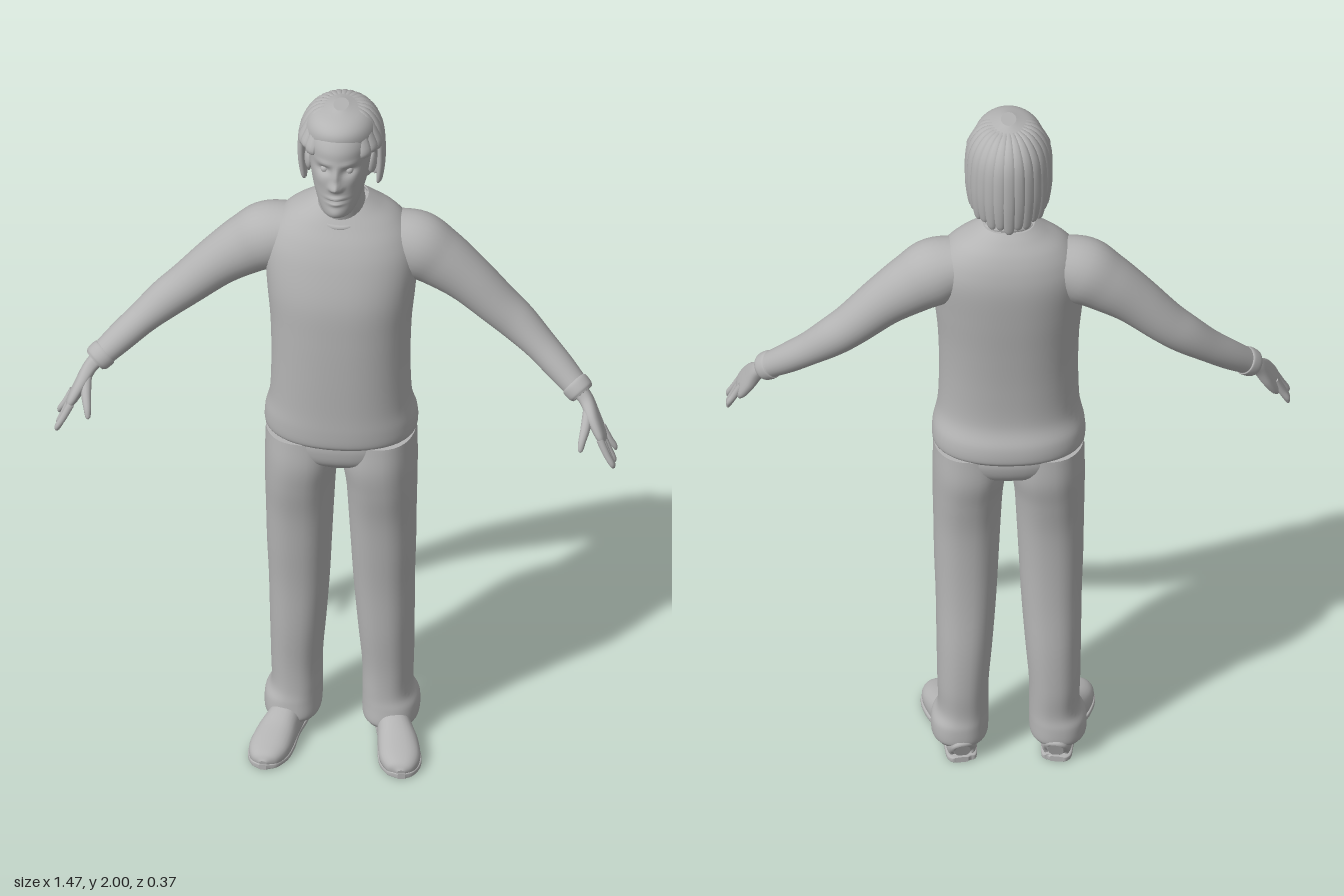
import * as THREE from 'three';

const grey = new THREE.MeshStandardMaterial({ color: 0xb4b4b4 });
grey.name = 'plain grey';

// Smooth closed loft through rows [x, y, z, halfWidth, halfDepth].
// hint = width direction; axis = fixed ring normal (otherwise rings follow the path).
function loft(rows, { hint = [1, 0, 0], axis = null, seg = 28, steps = 6, power = 2, side = 1, rule = null } = {}) {
  const path = new THREE.CatmullRomCurve3(rows.map(r => new THREE.Vector3(r[0] * side, r[1], r[2])), false, 'catmullrom', 0.5);
  const size = new THREE.CatmullRomCurve3(rows.map(r => new THREE.Vector3(r[3], r[4], 0)), false, 'catmullrom', 0.5);
  const n = (rows.length - 1) * steps;
  const pos = [], idx = [];
  const h = new THREE.Vector3(hint[0] * side, hint[1], hint[2]);
  const bend = c => Math.sign(c) * Math.pow(Math.abs(c), 2 / power);
  const put = p => { if (rule) rule(p); pos.push(p.x, p.y, p.z); };
  for (let i = 0; i <= n; i++) {
    const p = path.getPoint(i / n), s = size.getPoint(i / n);
    const t = axis ? new THREE.Vector3(...axis) : path.getTangent(i / n);
    const u = h.clone().addScaledVector(t, -h.dot(t)).normalize();
    const v = t.clone().cross(u);
    for (let j = 0; j < seg; j++) {
      const a = j / seg * Math.PI * 2;
      put(p.clone().addScaledVector(u, bend(Math.cos(a)) * Math.max(s.x, 0.001))
        .addScaledVector(v, bend(Math.sin(a)) * Math.max(s.y, 0.001)));
    }
  }
  for (let i = 0; i < n; i++) for (let j = 0; j < seg; j++) {
    const k = (j + 1) % seg, a = i * seg + j, b = i * seg + k;
    idx.push(a, b, b + seg, a, b + seg, a + seg);
  }
  // end caps with their own rings for a crisp edge
  for (const [ring, flip] of [[0, true], [n, false]]) {
    const base = pos.length / 3;
    for (let j = 0; j < seg; j++) pos.push(...pos.slice((ring * seg + j) * 3, (ring * seg + j) * 3 + 3));
    put(path.getPoint(ring / n));
    for (let j = 0; j < seg; j++) {
      const a = base + j, b = base + (j + 1) % seg, c = base + seg;
      flip ? idx.push(b, a, c) : idx.push(a, b, c);
    }
  }
  const g = new THREE.BufferGeometry();
  g.setAttribute('position', new THREE.Float32BufferAttribute(pos, 3));
  g.setIndex(idx);
  g.computeVertexNormals();
  return g;
}

export function createModel() {
  const model = new THREE.Group();
  model.name = 'standing man';
  const add = (name, geo, parent = model) => {
    const m = new THREE.Mesh(geo, grey);
    m.name = name;
    parent.add(m);
    return m;
  };
  const UP = [0, 1, 0];

  // Sweater body with hem
  add('sweater', loft([
    [0, 0.975, -0.035, 0.188, 0.132], [0, 0.99, -0.035, 0.199, 0.141], [0, 1.03, -0.032, 0.198, 0.141],
    [0, 1.09, -0.022, 0.185, 0.131], [0, 1.2, -0.022, 0.181, 0.133], [0, 1.32, -0.027, 0.184, 0.138],
    [0, 1.43, -0.035, 0.194, 0.141], [0, 1.53, -0.05, 0.2, 0.132], [0, 1.59, -0.058, 0.183, 0.117],
    [0, 1.635, -0.063, 0.148, 0.096], [0, 1.668, -0.062, 0.1, 0.075], [0, 1.69, -0.06, 0.068, 0.058]
  ], { axis: UP, seg: 48, power: 2.25 }));
  const collar = add('collar', new THREE.TorusGeometry(0.07, 0.009, 10, 40));
  collar.rotation.x = Math.PI / 2 + 0.42;
  collar.position.set(0, 1.667, -0.04);
  // Trouser seat
  add('trouserSeat', loft([
    [0, 0.89, -0.03, 0.11, 0.085], [0, 0.92, -0.032, 0.168, 0.12], [0, 0.96, -0.034, 0.19, 0.132], [0, 1.0, -0.034, 0.19, 0.13]
  ], { axis: UP, seg: 40, power: 2.3 }));

  // Neck
  add('neck', loft([
    [0, 1.6, -0.055, 0.07, 0.06], [0, 1.66, -0.045, 0.066, 0.064], [0, 1.71, -0.035, 0.06, 0.066], [0, 1.78, -0.03, 0.058, 0.065]
  ], { axis: UP }));

  // Head, with bumps [x, y, width, height, amount] that form the face
  const bumps = [
    [0, 1.848, 0.009, 0.026, 0.012], [0, 1.818, 0.011, 0.013, 0.019], [0.012, 1.812, 0.007, 0.008, 0.007],
    [0.033, 1.86, 0.018, 0.011, -0.012], [0.03, 1.883, 0.024, 0.008, 0.004], [0, 1.78, 0.021, 0.005, 0.008],
    [0, 1.764, 0.019, 0.006, 0.007], [0, 1.772, 0.024, 0.003, -0.004], [0, 1.735, 0.022, 0.014, 0.005], [0.045, 1.83, 0.018, 0.02, 0.004]
  ];
  add('head', loft([
    [0, 1.71, 0.04, 0.02, 0.03], [0, 1.718, 0.037, 0.04, 0.055], [0, 1.74, 0.025, 0.053, 0.071],
    [0, 1.78, 0.007, 0.067, 0.088], [0, 1.82, -0.007, 0.076, 0.102], [0, 1.87, -0.017, 0.083, 0.108],
    [0, 1.92, -0.02, 0.085, 0.108], [0, 1.96, -0.025, 0.072, 0.088], [0, 1.985, -0.03, 0.04, 0.05]
  ], {
    axis: UP, seg: 80, steps: 9, rule: p => {
      if (p.z < 0.02) return;
      const z = bumps.reduce((s, [x, y, w, h, k]) =>
        s + k * Math.exp(-(((Math.abs(p.x) - x) / w) ** 2) - ((p.y - y) / h) ** 2), 0);
      p.z += z * Math.min(1, (p.z - 0.02) / 0.03);
    }
  }));

  // Hair: a close cap plus combed locks running from crown to tips
  const hair = new THREE.Group();
  hair.name = 'hair';
  model.add(hair);
  add('hairCap', loft([
    [0, 1.75, -0.085, 0.075, 0.05], [0, 1.8, -0.085, 0.09, 0.062], [0, 1.85, -0.068, 0.098, 0.085],
    [0, 1.9, -0.045, 0.102, 0.107], [0, 1.95, -0.032, 0.091, 0.107], [0, 1.98, -0.028, 0.066, 0.082], [0, 1.997, -0.028, 0.02, 0.03]
  ], { axis: UP, seg: 40 }), hair);
  const locks = 21;
  for (let i = 0; i < locks; i++) {
    const f = (i / (locks - 1) * 2 - 1) * 2.4, away = Math.abs(f);
    const end = (away < 1.75 ? 1.712 + 0.02 * away : 1.872) + (i % 2) * 0.008;
    const at = (r, y, a, b) => [Math.sin(f) * 0.105 * r, y, -0.04 - Math.cos(f) * 0.116 * r, a, b];
    const mid = (1.92 + end) / 2;
    const lock = [at(0.2, 1.988, 0.005, 0.005), at(0.65, 1.973, 0.013, 0.008), at(0.95, 1.92, 0.018, 0.009),
      at(1.01, mid, 0.018, 0.009), at(0.95, end + 0.015, 0.013, 0.007), at(0.91, end, 0.003, 0.002)];
    add('hairLock', loft(lock, { hint: [Math.cos(f), 0, Math.sin(f)], seg: 10, steps: 4 }), hair);
  }

  for (const side of [1, -1]) {
    const label = side > 0 ? 'left' : 'right';
    const limb = (name, rows, opt) => add(label + name, loft(rows, { side, ...opt }));

    // Eye and ear
    const eye = add(label + 'Eye', new THREE.SphereGeometry(0.011, 16, 12));
    eye.position.set(side * 0.032, 1.858, 0.068);
    const ear = add(label + 'Ear', new THREE.SphereGeometry(1, 16, 12));
    ear.scale.set(0.011, 0.032, 0.019);
    ear.position.set(side * 0.083, 1.83, -0.012);
    ear.rotation.y = side * -0.3;

    // Sleeve and cuff
    limb('Sleeve', [
      [0.1, 1.575, -0.065, 0.06, 0.07], [0.185, 1.54, -0.068, 0.09, 0.085], [0.25, 1.5, -0.07, 0.081, 0.077],
      [0.325, 1.442, -0.068, 0.067, 0.066], [0.405, 1.366, -0.064, 0.057, 0.058], [0.46, 1.318, -0.056, 0.052, 0.052],
      [0.52, 1.265, -0.036, 0.043, 0.045], [0.575, 1.216, -0.01, 0.039, 0.04], [0.625, 1.172, 0.018, 0.033, 0.034]
    ], { hint: [0.7, 0.7, 0] });
    limb('Cuff', [
      [0.612, 1.183, 0.01, 0.034, 0.034], [0.617, 1.179, 0.013, 0.038, 0.038], [0.632, 1.166, 0.021, 0.037, 0.037], [0.639, 1.16, 0.025, 0.031, 0.032]
    ], { hint: [0.7, 0.7, 0] });

    // Hand: palm, four fingers and thumb
    limb('Palm', [
      [0.625, 1.172, 0.018, 0.024, 0.022], [0.65, 1.146, 0.033, 0.023, 0.019], [0.67, 1.11, 0.055, 0.037, 0.018],
      [0.69, 1.073, 0.072, 0.04, 0.015], [0.699, 1.055, 0.079, 0.034, 0.01]
    ], { hint: [0, 0.35, 1], power: 2.4, seg: 24 });
    [[0.105, 0.121, 0.998], [0.089, 0.104, 0.986], [0.071, 0.082, 0.99], [0.053, 0.058, 1.012]].forEach(([z0, z1, y1], i) => {
      const y0 = 1.062 + (i === 3 ? 0.01 : 0);
      limb('Finger', [
        [0.693, y0 + 0.01, z0, 0.009, 0.01], [0.712, (y0 + y1) / 2 + 0.004, (z0 + z1) / 2 + 0.002, 0.009, 0.009],
        [0.726, y1 + 0.012, z1, 0.0075, 0.0075], [0.729, y1, z1, 0.003, 0.003]
      ], { hint: [0, 0, 1], seg: 12, steps: 4 });
    });
    limb('Thumb', [
      [0.657, 1.13, 0.058, 0.014, 0.014], [0.654, 1.1, 0.093, 0.013, 0.013], [0.648, 1.075, 0.12, 0.01, 0.01],
      [0.645, 1.055, 0.131, 0.007, 0.007], [0.644, 1.049, 0.134, 0.002, 0.002]
    ], { hint: [1, 0, 0], seg: 12, steps: 4 });

    // Trouser leg, flared at the hem
    limb('TrouserLeg', [
      [0.128, 0.045, -0.055, 0.066, 0.084], [0.128, 0.06, -0.056, 0.074, 0.092], [0.127, 0.1, -0.058, 0.074, 0.09],
      [0.119, 0.14, -0.058, 0.066, 0.085], [0.119, 0.22, -0.06, 0.067, 0.088], [0.115, 0.34, -0.054, 0.073, 0.092],
      [0.111, 0.48, -0.045, 0.079, 0.09], [0.11, 0.6, -0.037, 0.084, 0.094], [0.108, 0.72, -0.032, 0.088, 0.102],
      [0.106, 0.82, -0.03, 0.092, 0.118], [0.1, 0.9, -0.032, 0.098, 0.129], [0.098, 0.98, -0.034, 0.098, 0.125]
    ], { axis: UP, seg: 36, power: 2.3 });

    // Shoe with flat underside, and a thin sole
    const flat = p => { p.y = Math.max(p.y, 0.012); };
    limb('Shoe', [
      [0.121, 0.035, -0.14, 0.02, 0.022], [0.123, 0.04, -0.125, 0.038, 0.04], [0.128, 0.045, -0.06, 0.043, 0.055],
      [0.143, 0.04, 0.01, 0.045, 0.056], [0.16, 0.03, 0.07, 0.053, 0.044], [0.172, 0.024, 0.125, 0.053, 0.034],
      [0.179, 0.02, 0.165, 0.037, 0.024], [0.181, 0.018, 0.182, 0.01, 0.008]
    ], { hint: [1, 0, -0.2], power: 2.3, rule: flat });
    limb('Sole', [
      [0.121, 0.008, -0.142, 0.016, 0.008], [0.123, 0.008, -0.128, 0.038, 0.008], [0.128, 0.008, -0.06, 0.043, 0.008],
      [0.145, 0.008, 0.01, 0.045, 0.008], [0.161, 0.008, 0.07, 0.055, 0.008], [0.173, 0.008, 0.125, 0.055, 0.008],
      [0.18, 0.008, 0.167, 0.037, 0.008], [0.182, 0.008, 0.184, 0.01, 0.008]
    ], { hint: [1, 0, -0.2], power: 5 });
  }
  return model;
}
